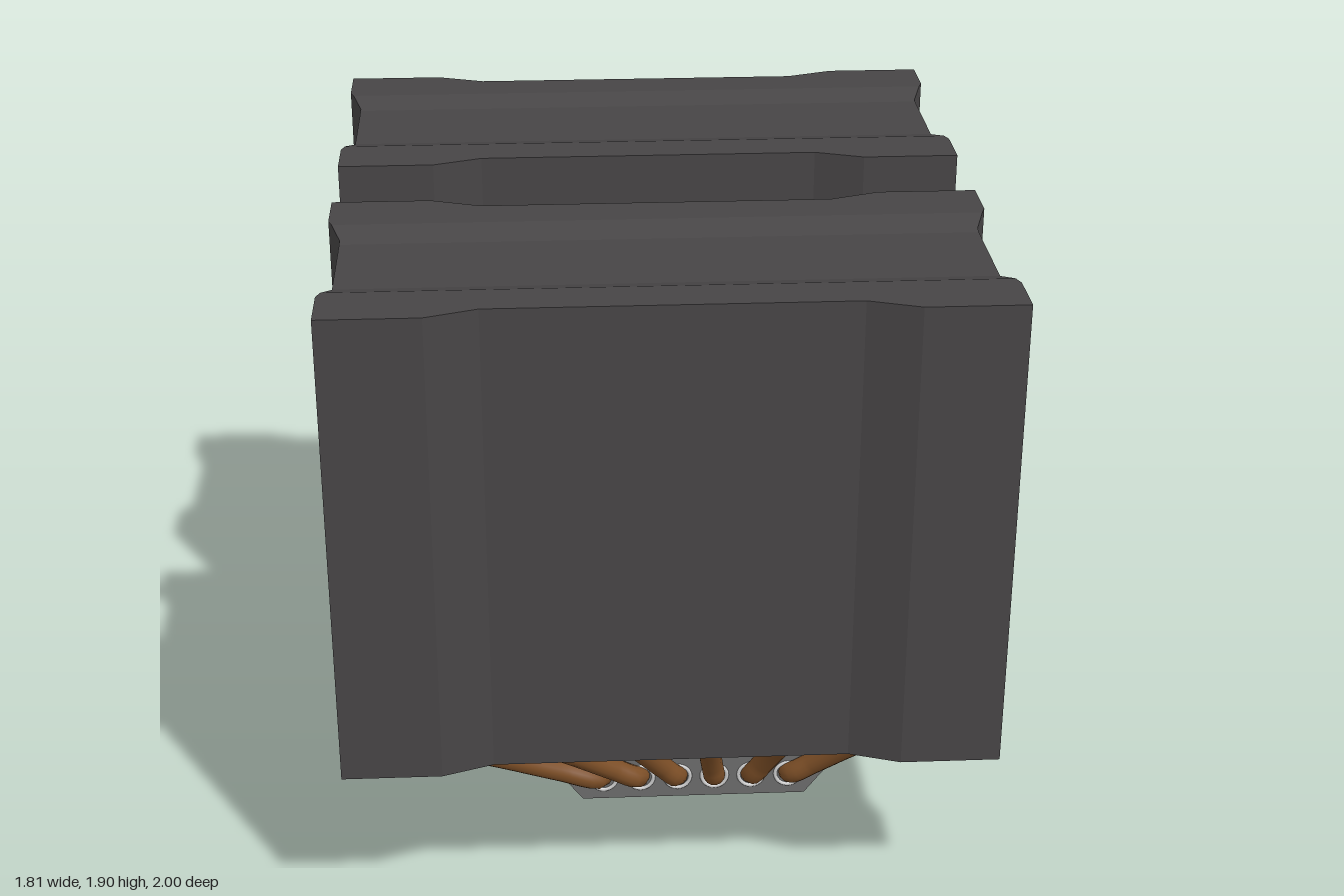
import * as THREE from 'three';

const mat = (color, flatShading = false) => new THREE.MeshStandardMaterial({ color, flatShading });
const finMat = mat(0x474546, true);
const baseMat = mat(0x6c6c6c, true);
const plateMat = mat(0x4b4a48);
const copperMat = mat(0x7d4f27);
const ringMat = mat(0xcccccc);

const CX = 0.11; // the base sits off centre

function add(parent, name, geometry, material, x = 0, y = 0, z = 0) {
  const mesh = new THREE.Mesh(geometry, material);
  mesh.name = name;
  mesh.position.set(x, y, z);
  parent.add(mesh);
  return mesh;
}

// 0 below a, 1 above b, linear between
const ramp = (v, a, b) => THREE.MathUtils.clamp((v - a) / (b - a), 0, 1);

// Fin block: a gridded box whose sides, faces and top are shallowly recessed
function finStackGeometry() {
  const xs = [-0.905, -0.63, -0.49, 0.49, 0.63, 0.905];
  const zs = [0.15, 0.30, 0.33, 0.40, 0.42, 0.74, 0.75, 0.82, 0.85, 1.0];
  const nx = xs.length - 1, nz = zs.length - 1;
  const geo = new THREE.BoxGeometry(nx, 1, nz, nx, 1, nz);
  const p = geo.attributes.position;
  for (let i = 0; i < p.count; i++) {
    const ix = Math.round(p.getX(i) + nx / 2), iz = Math.round(p.getZ(i) + nz / 2);
    let x = xs[ix], z = zs[iz], y = 0.55;
    if (p.getY(i) > 0) y = 1.905 - 0.024 * ramp(z, 0.33, 0.42) * (1 - ramp(z, 0.74, 0.82));
    if (ix === 0 || ix === nx) x -= Math.sign(x) * 0.035 * ramp(z, 0.30, 0.40) * (1 - ramp(z, 0.75, 0.85));
    const dip = 0.05 * (1 - ramp(Math.abs(x), 0.49, 0.63));
    if (iz === 0) z += dip;
    if (iz === nz) z -= dip;
    p.setXYZ(i, x, y, z);
  }
  geo.computeVertexNormals();
  return geo;
}

// Mounting ear with rounded outer corners and a screw hole, pointing to +x
function earGeometry() {
  const w = 0.24, h = 0.105, r = 0.025;
  const s = new THREE.Shape();
  s.moveTo(-0.03, -h);
  s.lineTo(w - r, -h);
  s.quadraticCurveTo(w, -h, w, -h + r);
  s.lineTo(w, h - r);
  s.quadraticCurveTo(w, h, w - r, h);
  s.lineTo(-0.03, h);
  s.closePath();
  s.holes.push(new THREE.Path().absarc(0.135, 0, 0.05, 0, Math.PI * 2, true));
  return new THREE.ExtrudeGeometry(s, { depth: 0.08, bevelEnabled: false, curveSegments: 12 }).rotateX(-Math.PI / 2);
}

// Heat pipe bending out of the base and up into a fin stack; side is +1 or -1
function pipeGeometry(x0, x1, side) {
  // [fraction of sideways travel, y, z]
  const path = [
    [0, 0.075, 0.26], [0.03, 0.085, 0.325], [0.23, 0.135, 0.352], [0.45, 0.2, 0.392],
    [0.74, 0.3, 0.465], [0.93, 0.41, 0.548], [1, 0.51, 0.582], [1, 0.62, 0.585],
  ];
  const curve = new THREE.CatmullRomCurve3(path.map(([f, y, z]) => new THREE.Vector3(x0 + (x1 - x0) * f, y, side * z)));
  return new THREE.TubeGeometry(curve, 40, 0.034, 14);
}

export function createModel() {
  const model = new THREE.Group();
  model.name = 'cpuCooler';

  // Twin fin stacks
  const fins = finStackGeometry();
  add(model, 'frontFinStack', fins, finMat);
  add(model, 'backFinStack', fins, finMat).rotation.y = Math.PI;

  // Base block with chamfered long edges
  const base = new THREE.Group();
  base.name = 'base';
  model.add(base);
  const profile = [[-0.342, 0.004], [0.342, 0.004], [0.4, 0.08], [0.4, 0.21], [0.342, 0.265], [-0.342, 0.265], [-0.4, 0.21], [-0.4, 0.08]];
  const block = new THREE.ExtrudeGeometry(
    new THREE.Shape(profile.map(([x, y]) => new THREE.Vector2(x, y))),
    { depth: 0.63, bevelEnabled: false });
  add(base, 'baseBlock', block, baseMat, CX, 0, -0.315);
  add(base, 'contactPlate', new THREE.BoxGeometry(0.6, 0.02, 0.54), plateMat, CX, 0.01, 0);

  // Mounting ears on both sides
  const ear = earGeometry();
  add(base, 'leftMountingEar', ear, baseMat, CX + 0.39, 0.1, 0);
  add(base, 'rightMountingEar', ear, baseMat, CX - 0.4, 0.1, 0).rotation.y = Math.PI;

  // Knurled screw on top
  const knob = new THREE.Group();
  knob.name = 'knob';
  knob.position.set(CX, 0, 0);
  base.add(knob);
  add(knob, 'knobCore', new THREE.CylinderGeometry(0.1, 0.1, 0.08, 32), baseMat, 0, 0.3, 0);
  add(knob, 'knobCap', new THREE.CylinderGeometry(0.114, 0.114, 0.012, 32), baseMat, 0, 0.342, 0);
  const ribs = 20;
  for (let i = 0; i < ribs; i++) {
    const a = (i / ribs) * Math.PI * 2;
    const rib = add(knob, 'knobRib', new THREE.BoxGeometry(0.02, 0.08, 0.02), baseMat,
      Math.cos(a) * 0.103, 0.3, Math.sin(a) * 0.103);
    rib.rotation.y = -a;
  }

  // Six heat pipes per side, with a pale collar where each enters the base
  const tops = [-0.75, -0.44, -0.15, 0.13, 0.415, 0.72];
  for (const side of [1, -1]) {
    tops.forEach((top, i) => {
      const x = -0.167 + i * 0.1135;
      add(model, 'heatPipe', pipeGeometry(x, top, side), copperMat);
      add(model, 'pipeCollar', new THREE.TorusGeometry(0.039, 0.006, 8, 24), ringMat, x, 0.075, side * 0.315);
    });
  }
  return model;
}
